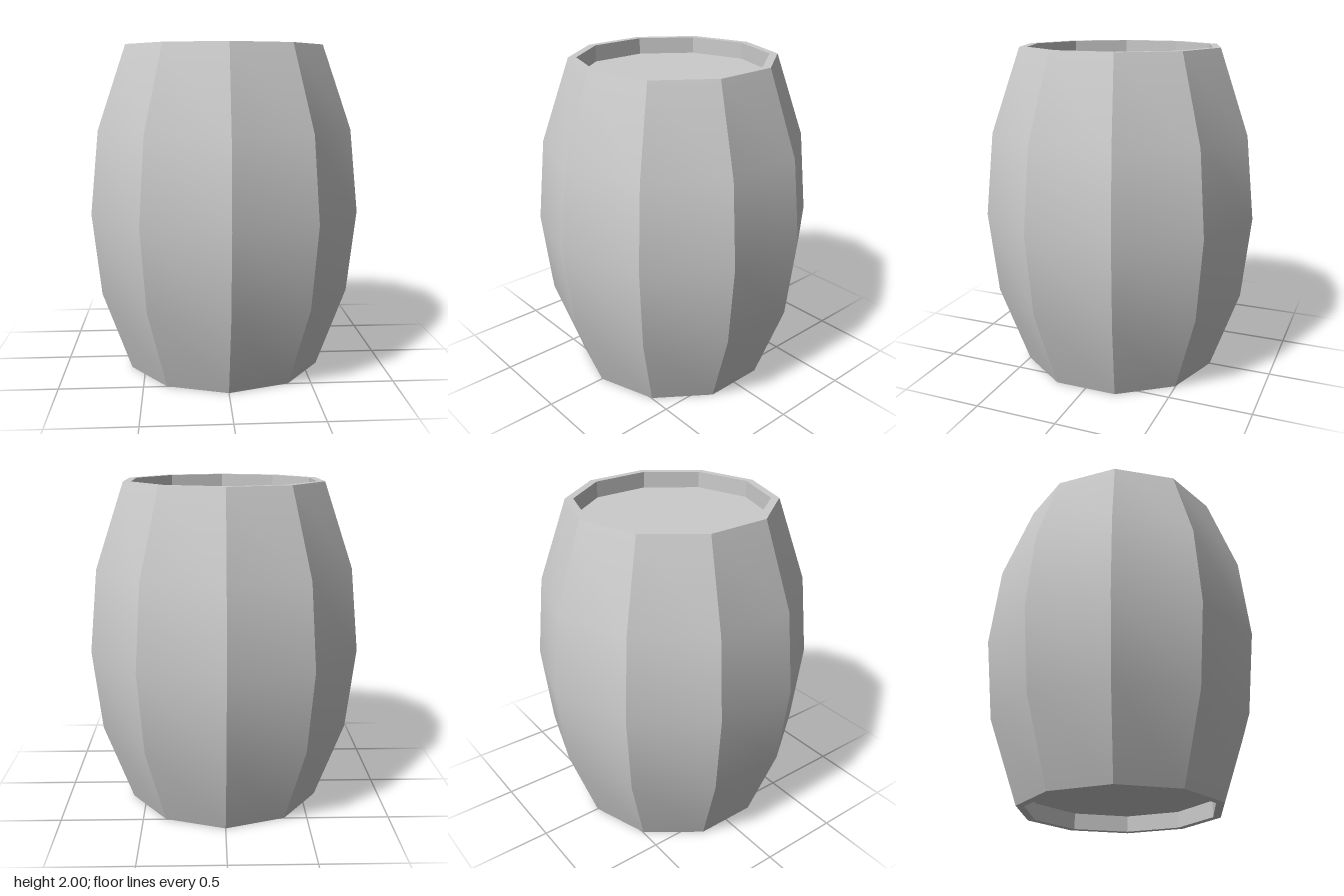
import * as THREE from 'three';
import { toCreasedNormals } from 'three/addons/utils/BufferGeometryUtils.js';

const SIDES = 10;
const RIM_INNER = 0.567;
const RECESS = 0.1;

export function createModel() {
  const barrel = new THREE.Group();
  barrel.name = 'barrel';
  const material = new THREE.MeshStandardMaterial({ color: 0xcccccc });

  // Staves: bulging outer wall, flat rims and the inner walls of both recesses
  const profile = [
    [RIM_INNER, RECESS], [RIM_INNER, 0], [0.615, 0], [0.792, 0.5], [0.845, 1],
    [0.792, 1.5], [0.615, 2], [RIM_INNER, 2], [RIM_INNER, 2 - RECESS],
  ].map(([r, y]) => new THREE.Vector2(r, y));
  // Smooth along each stave, sharp between neighbouring staves
  const wall = toCreasedNormals(new THREE.LatheGeometry(profile, SIDES), 0.44);
  const staves = new THREE.Mesh(wall, material);
  staves.name = 'staves';
  barrel.add(staves);

  // Flat heads set into each end
  for (const [name, y, tilt] of [['topHead', 2 - RECESS, -1], ['bottomHead', RECESS, 1]]) {
    const head = new THREE.Mesh(new THREE.CircleGeometry(RIM_INNER, SIDES, Math.PI / 2), material);
    head.name = name;
    head.rotation.x = tilt * Math.PI / 2;
    head.position.y = y;
    barrel.add(head);
  }

  return barrel;
}
